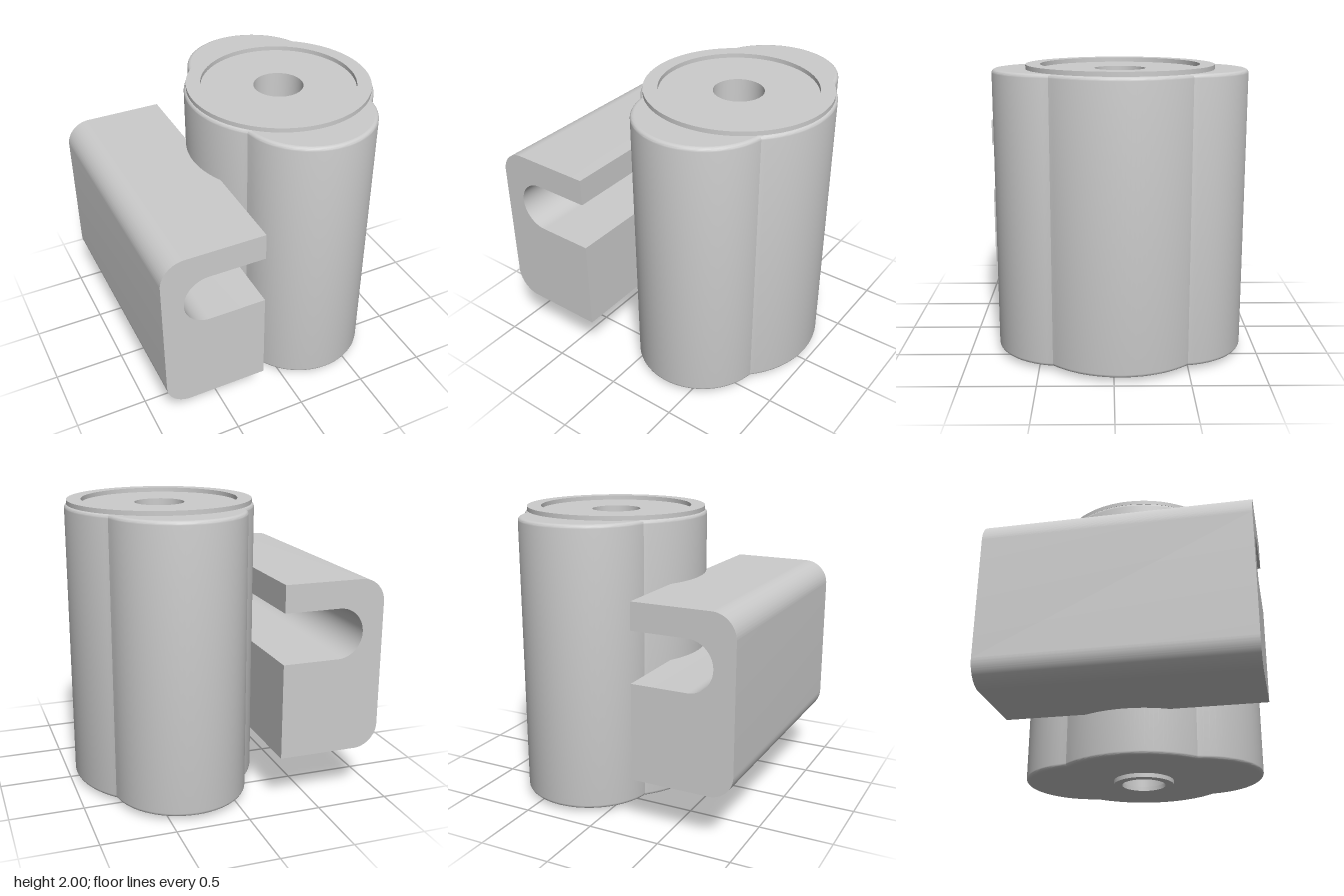
import * as THREE from 'three';
import { toCreasedNormals } from 'three/addons/utils/BufferGeometryUtils.js';

const CX = 0.315, CZ = -0.045;           // axis of the bored body
const R = 0.643, LOBE_R = 0.463, LOBE_D = 0.39;
const Y0 = 0.03, Y1 = 1.97, FILLET = 0.025, BORE = 0.17;

const material = new THREE.MeshStandardMaterial({ color: 0xcccccc });

function addMesh(parent, name, geometry) {
  const mesh = new THREE.Mesh(toCreasedNormals(geometry, 0.5), material);
  mesh.name = name;
  parent.add(mesh);
  return mesh;
}

// Union of the main circle and the two lobes, inset by d; points are (x, z)
function outline(d, n = 32) {
  const big = R - d, small = LOBE_R - d;
  const a = (big * big - small * small + LOBE_D * LOBE_D) / (2 * LOBE_D);
  const h = Math.sqrt(big * big - a * a);
  const t = Math.atan2(a, h);            // where the main circle meets a lobe
  const s = Math.atan2(a - LOBE_D, h);
  const pts = [];
  const arc = (cy, r, from, to) => {
    for (let i = 0; i < n; i++) {
      const u = from + (to - from) * i / n;
      pts.push(new THREE.Vector2(r * Math.cos(u), cy + r * Math.sin(u)));
    }
  };
  arc(0, big, -t, t);
  arc(LOBE_D, small, s, Math.PI - s);
  arc(0, big, Math.PI - t, Math.PI + t);
  arc(-LOBE_D, small, Math.PI + s, 2 * Math.PI - s);
  return pts;
}

// Side wall with rounded top and bottom rims, lofted through inset outlines
function wallGeometry() {
  const levels = [];
  const steps = 5;
  for (let i = 0; i <= steps; i++) {
    const u = (i / steps) * Math.PI / 2;
    levels.push([FILLET * (1 - Math.sin(u)), Y0 + FILLET * (1 - Math.cos(u))]);
  }
  for (const [d, y] of [...levels].reverse()) levels.push([d, Y0 + Y1 - y]);
  const pos = [], idx = [];
  let count = 0;
  for (const [d, y] of levels) {
    const pts = outline(d);
    count = pts.length;
    for (const p of pts) pos.push(p.x, y, p.y);
  }
  for (let j = 0; j < levels.length - 1; j++) {
    for (let i = 0; i < count; i++) {
      const k = (i + 1) % count;
      const a = j * count + i, b = j * count + k, c = a + count, e = b + count;
      idx.push(a, c, b, b, c, e);
    }
  }
  const g = new THREE.BufferGeometry();
  g.setAttribute('position', new THREE.Float32BufferAttribute(pos, 3));
  g.setIndex(idx);
  g.computeVertexNormals();
  return g;
}

// Flat end face with the bore cut out; facing = 1 is up, -1 is down
function capGeometry(y, facing) {
  const shape = new THREE.Shape(outline(FILLET));
  const hole = new THREE.Path();
  hole.absarc(0, 0, BORE, 0, Math.PI * 2, true);
  shape.holes.push(hole);
  return new THREE.ShapeGeometry(shape, 32).rotateX(-facing * Math.PI / 2).translate(0, y, 0);
}

// Square-section ring
function ringGeometry(inner, outer, y0, y1) {
  const p = [[inner, y0], [outer, y0], [outer, y1], [inner, y1], [inner, y0]];
  return new THREE.LatheGeometry(p.map(([x, y]) => new THREE.Vector2(x, y)), 96);
}

// C-shaped profile with a round-ended slot open toward the body
function bracketGeometry() {
  const x0 = -0.965, x1 = -0.26, y0 = 0.35, y1 = 1.535, r = 0.165;
  const s0 = 1.005, s1 = 1.35, sr = (s1 - s0) / 2, sx = -0.82 + sr;
  const shape = new THREE.Shape();
  shape.moveTo(x1, y0);
  shape.lineTo(x1, s0);
  shape.lineTo(sx, s0);
  shape.absarc(sx, s0 + sr, sr, -Math.PI / 2, -Math.PI * 1.5, true);
  shape.lineTo(x1, s1);
  shape.lineTo(x1, y1);
  shape.lineTo(x0 + r, y1);
  shape.absarc(x0 + r, y1 - r, r, Math.PI / 2, Math.PI, false);
  shape.lineTo(x0, y0 + r);
  shape.absarc(x0 + r, y0 + r, r, Math.PI, Math.PI * 1.5, false);
  shape.closePath();
  return new THREE.ExtrudeGeometry(shape, { depth: 1.795, bevelEnabled: false, curveSegments: 20 })
    .translate(0, 0, -0.895);
}

export function createModel() {
  const model = new THREE.Group();
  model.name = 'slottedBracketHousing';

  // Lobed body with a through bore
  const body = new THREE.Group();
  body.name = 'body';
  body.position.set(CX, 0, CZ);
  model.add(body);
  addMesh(body, 'bodyWall', wallGeometry());
  addMesh(body, 'bodyTop', capGeometry(Y1, 1));
  addMesh(body, 'bodyBottom', capGeometry(Y0, -1));
  // Listed top to bottom so the bore faces inward
  addMesh(body, 'bore', new THREE.LatheGeometry(
    [new THREE.Vector2(BORE, Y1), new THREE.Vector2(BORE, Y0)], 64));

  // Raised rim on top and small collar underneath
  addMesh(body, 'topRim', ringGeometry(0.53, 0.628, Y1, 2));
  addMesh(body, 'bottomCollar', ringGeometry(0.155, 0.215, 0, Y0));

  // Slotted side bracket
  addMesh(model, 'bracket', bracketGeometry());
  return model;
}
